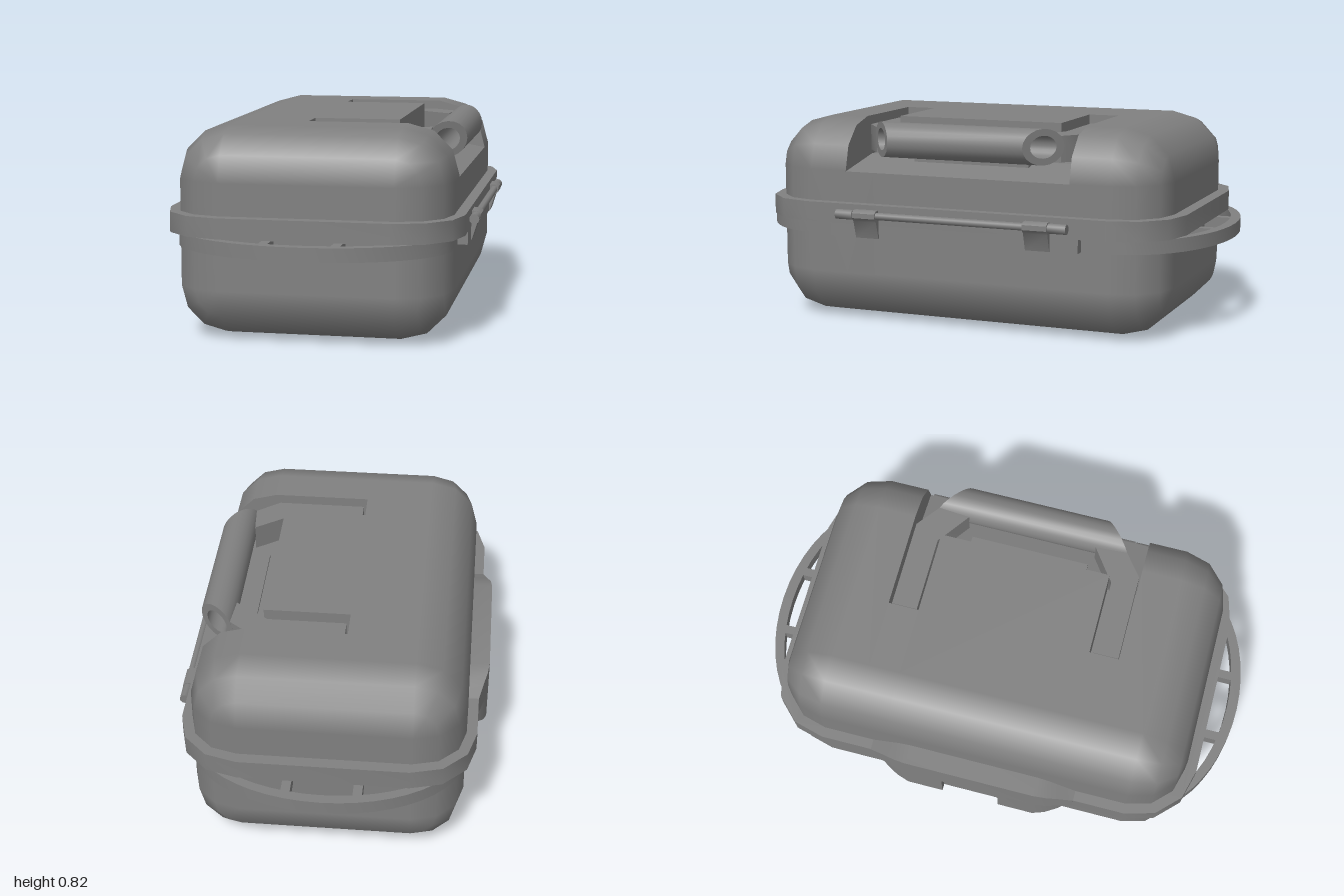
import * as THREE from 'three';
import { toCreasedNormals } from 'three/addons/utils/BufferGeometryUtils.js';

const mat = new THREE.MeshStandardMaterial({ color: 0x808080 });
const V = (x, y) => new THREE.Vector2(x, y);

// Case half width, half height, straight half length and corner radius
const HX = 0.54, HY = 0.4125, HZ = 0.842, R = 0.203;

// Rounded rectangle, counter-clockwise from the top right corner
function roundRect(hx, hy, r, cy = 0, n = 3) {
  const pts = [];
  [[1, 1], [-1, 1], [-1, -1], [1, -1]].forEach(([sx, sy], q) => {
    for (let i = 0; i <= n; i++) {
      const a = (q + i / n) * Math.PI / 2;
      pts.push(V(sx * (hx - r) + r * Math.cos(a), cy + sy * (hy - r) + r * Math.sin(a)));
    }
  });
  return pts;
}

function extrude(pts, depth, hole) {
  const shape = new THREE.Shape(pts);
  if (hole) shape.holes.push(new THREE.Path(hole));
  return new THREE.ExtrudeGeometry(shape, { depth, bevelEnabled: false });
}

// Plan outline (x, z) raised from y0 to y1
function slab(pts, y0, y1) {
  return extrude(pts.map(([x, z]) => V(x, -z)), y1 - y0).rotateX(-Math.PI / 2).translate(0, y0, 0);
}

// Closed skin over counter-clockwise sections that advance along +z
function loft(loops) {
  const n = loops[0].length, last = (loops.length - 1) * n, idx = [];
  for (let k = 0; k < last; k += n)
    for (let i = 0; i < n; i++) {
      const a = k + i, b = k + (i + 1) % n;
      idx.push(a, b, b + n, a, b + n, a + n);
    }
  for (let i = 1; i < n - 1; i++) idx.push(0, i + 1, i, last, last + i, last + i + 1);
  const geo = new THREE.BufferGeometry();
  geo.setAttribute('position', new THREE.Float32BufferAttribute(loops.flat(2), 3));
  geo.setIndex(idx);
  return geo;
}

// Rounded-box normals on the outer skin; recess walls and floors stay flat
function caseNormals(geo) {
  const g = geo.index ? geo.toNonIndexed() : geo;
  g.computeVertexNormals();
  const core = new THREE.Box3(
    new THREE.Vector3(R - HX, R, R - HZ), new THREE.Vector3(HX - R, 2 * HY - R, HZ - R));
  const p = new THREE.Vector3(), q = new THREE.Vector3(), nrm = new THREE.Vector3();
  for (let i = 0; i < g.attributes.position.count; i++) {
    p.fromBufferAttribute(g.attributes.position, i);
    p.sub(core.clampPoint(p, q));
    nrm.fromBufferAttribute(g.attributes.normal, i);
    if (Math.abs(p.length() - R) < 0.005 && p.normalize().dot(nrm) > 0.8)
      g.attributes.normal.setXYZ(i, p.x, p.y, p.z);
  }
  return g;
}

export function createModel() {
  const group = new THREE.Group();
  const addMesh = (name, geo) => {
    const mesh = new THREE.Mesh(geo, mat);
    mesh.name = name;
    group.add(mesh);
  };
  const add = (name, geo) => addMesh(name, toCreasedNormals(geo, 0.7));
  const box = (name, x0, x1, y0, y1, z0, z1) =>
    add(name, new THREE.BoxGeometry(x1 - x0, y1 - y0, z1 - z0)
      .translate((x0 + x1) / 2, (y0 + y1) / 2, (z0 + z1) / 2));

  // Rounded ends of the case
  const endShell = () => {
    const loops = [roundRect(HX, HY, R, HY).map(p => [p.x, p.y, 0.48])];
    for (let k = 0; k <= 3; k++) {
      const a = k * Math.PI / 6, inset = R * (1 - Math.cos(a));
      loops.push(roundRect(HX - inset, HY - inset, R * Math.cos(a), HY)
        .map(p => [p.x, p.y, HZ - R + R * Math.sin(a)]));
    }
    return loft(loops);
  };
  addMesh('caseFrontEnd', caseNormals(endShell()));
  addMesh('caseBackEnd', caseNormals(endShell().rotateY(Math.PI)));

  // Middle of the case, in slices notched for the handle recess
  const notched = nx => [V(HX, 0.62), V(0.3, 0.665), V(nx, 0.665), V(nx, 2 * HY),
    ...roundRect(HX, HY, R, HY).slice(4)];
  addMesh('caseMiddle', caseNormals(extrude(notched(0.285), 0.71).translate(0, 0, -0.355)));
  for (const z of [-0.48, 0.355])
    addMesh('caseArmSlot', caseNormals(extrude(notched(-0.06), 0.125).translate(0, 0, z)));

  // Lid flange
  add('lidFlange', extrude(roundRect(0.582, 0.89, 0.25), 0.08)
    .rotateX(-Math.PI / 2).translate(0, 0.415, 0));

  // Carry handle: hollow grip with mitred ends
  const circle = r => Array.from({ length: 20 }, (_, i) =>
    V(0.475 + r * Math.cos(i * Math.PI / 10), 0.75 + r * Math.sin(i * Math.PI / 10)));
  const grip = extrude(circle(0.072), 1, circle(0.045)).translate(0, 0, -0.5);
  const gp = grip.attributes.position;
  for (let i = 0; i < gp.count; i++)
    gp.setZ(i, Math.sign(gp.getZ(i)) * (0.29 + (0.545 - gp.getX(i)) * 0.85));
  add('handleGrip', grip);

  // Handle arms lying in their slots
  for (const s of [-1, 1])
    add('handleArm', slab([[-0.045, 0.368], [0.27, 0.368], [0.3, 0.345], [0.405, 0.27],
      [0.415, 0.4], [0.32, 0.473], [-0.045, 0.473]].map(([x, z]) => [x, s * z]), 0.685, 0.79));
  box('recessRidge', 0.34, 0.375, 0.64, 0.668, -0.25, 0.25);

  // Bowed carry rails at both ends, running back into the case corners
  const arc = (a, b) => Array.from({ length: 25 }, (_, i) => {
    const t = (i / 12 - 1) * Math.PI / 2;
    return [a * Math.sin(t), 0.64 + b * Math.cos(t)];
  });
  const bow = [...arc(0.54, 0.36), ...arc(0.515, 0.318).reverse()];
  for (const s of [-1, 1]) {
    add('endRail', slab(bow.map(([x, z]) => [x, s * z]), 0.36, 0.415));
    for (const x of [-0.138, 0.138])
      box('endRailRib', x - 0.018, x + 0.018, 0.36, 0.415, ...(s > 0 ? [0.8, 0.96] : [-0.96, -0.8]));
  }

  // Hinge on the +x side
  box('hingeLedge', 0.5, 0.58, 0.36, 0.415, -0.53, 0.53);
  const rod = (name, r, z0, z1) => add(name, new THREE.CylinderGeometry(r, r, z1 - z0, 12)
    .rotateX(Math.PI / 2).translate(0.6, 0.455, (z0 + z1) / 2));
  rod('hingePin', 0.015, -0.45, 0.45);
  for (const s of [-1, 1]) {
    rod('hingePinEnd', 0.02, s * 0.455 - 0.037, s * 0.455 + 0.037);
    add('hingeBracket', extrude([V(0.55, 0.36), V(0.583, 0.36), V(0.605, 0.43), V(0.619, 0.445),
      V(0.619, 0.465), V(0.605, 0.476), V(0.575, 0.476), V(0.55, 0.42)], 0.1)
      .translate(0, 0, s * 0.365 - 0.05));
  }

  // Latch housing on the -x side, from columns of [z, bottom, top, outer x]
  const housing = (name, cols) => add(name, loft(cols.map(([z, y0, y1, x]) =>
    [[x, y0, z], [-0.5, y0, z], [-0.5, y1, z], [x, y1, z]])));
  const mirrored = cols => cols.map(([z, ...rest]) => [-z, ...rest]).reverse();
  const hood = [[0.27, 0.415, 0.55, -0.62], [0.32, 0.415, 0.54, -0.613],
    [0.37, 0.415, 0.518, -0.598], [0.43, 0.415, 0.495, -0.583]];
  housing('latchHood', [...mirrored(hood), ...hood]);
  const guard = [[0.12, 0.275, 0.415, -0.62], [0.27, 0.275, 0.415, -0.62],
    [0.32, 0.295, 0.415, -0.608], [0.37, 0.325, 0.415, -0.585], [0.43, 0.36, 0.415, -0.541]];
  housing('latchGuard', guard);
  housing('latchGuard', mirrored(guard));
  box('latchPlate', -0.595, -0.5, 0.285, 0.42, -0.13, 0.13);

  return group;
}
